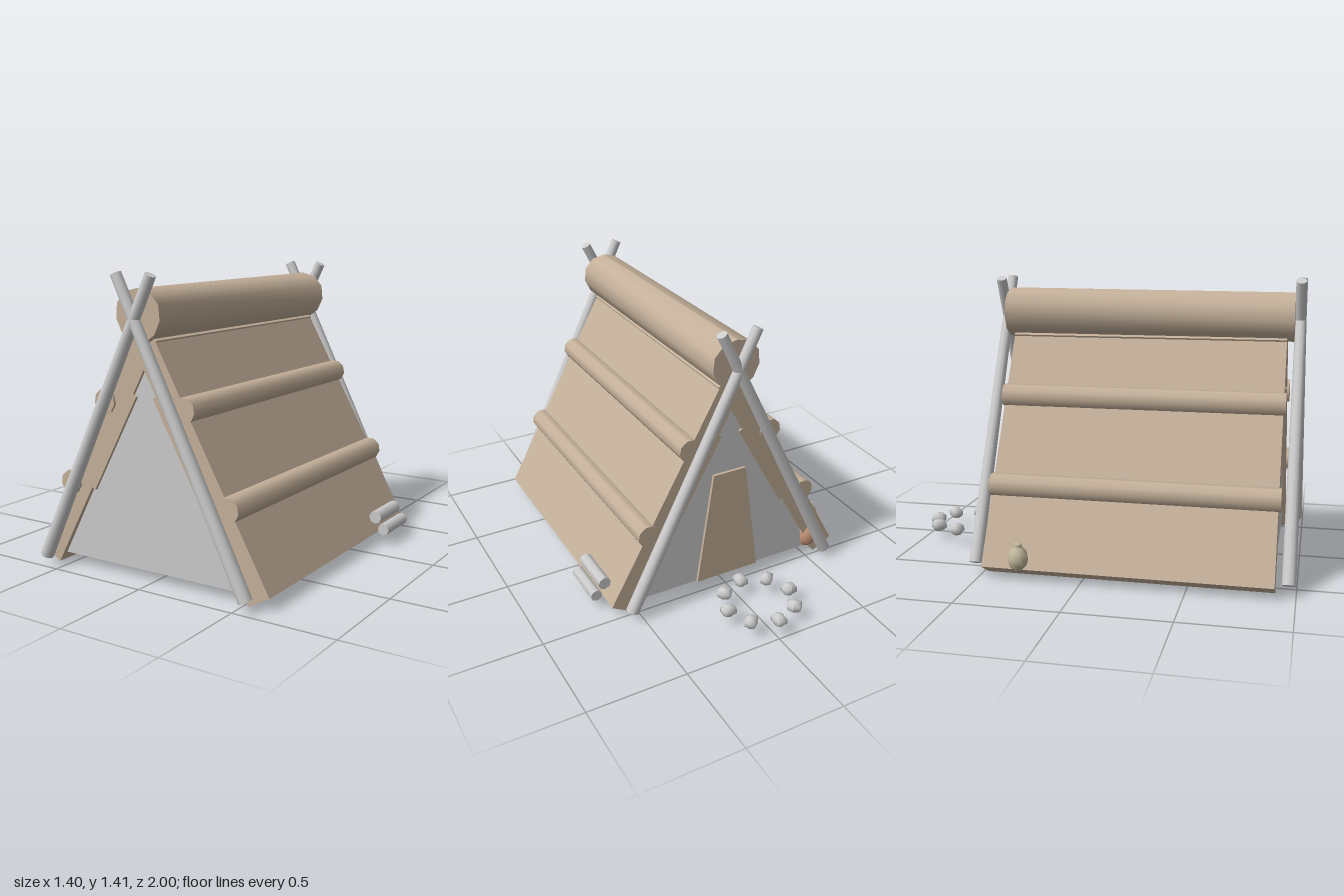
import * as THREE from 'three';

const CX = -0.02; // ridge line of the shelter
const grey = new THREE.MeshStandardMaterial({ color: 0xcccccc });
const bark = new THREE.MeshStandardMaterial({ color: 0xc4b09a });
const clay = new THREE.MeshStandardMaterial({ color: 0xd09a7c });
const gourdSkin = new THREE.MeshStandardMaterial({ color: 0xc2b89c });

export function createModel() {
  const model = new THREE.Group();
  model.name = 'barkShelter';

  const add = (name, geometry, material, x = 0, y = 0, z = 0) => {
    const mesh = new THREE.Mesh(geometry, material);
    mesh.name = name;
    mesh.position.set(x, y, z);
    model.add(mesh);
    return mesh;
  };

  // flat outline in x/y, given a thickness from z0 to z1
  const slab = (name, points, z0, z1, material) => {
    const shape = new THREE.Shape(points.map(([x, y]) => new THREE.Vector2(x, y)));
    const geometry = new THREE.ExtrudeGeometry(shape, { depth: z1 - z0, bevelEnabled: false });
    return add(name, geometry, material, 0, 0, z0);
  };

  // round timber between two points
  const timber = (name, a, b, r, sides, material, rEnd = r) => {
    const from = new THREE.Vector3(...a), to = new THREE.Vector3(...b);
    const mesh = add(name, new THREE.CylinderGeometry(rEnd, r, from.distanceTo(to), sides), material);
    mesh.position.copy(from).add(to).multiplyScalar(0.5);
    mesh.quaternion.setFromUnitVectors(new THREE.Vector3(0, 1, 0), to.sub(from).normalize());
    return mesh;
  };

  // roof slopes: three bark sheets per side, the middle one thicker inside
  const tilt = THREE.MathUtils.degToRad(61);
  const up = [-Math.cos(tilt), Math.sin(tilt)];
  const inward = [-Math.sin(tilt), -Math.cos(tilt)];
  const sheets = [[0, 0.52, 0.12], [0.46, 0.99, 0.14], [0.93, 1.275, 0.12]];
  for (const side of [1, -1]) {
    for (const [s0, s1, thick] of sheets) {
      const at = (s, t) => [
        CX + side * (0.65 + up[0] * s + inward[0] * t),
        0.07 + up[1] * s + inward[1] * t,
      ];
      slab(side > 0 ? 'leftRoofSheet' : 'rightRoofSheet',
        [at(s0, 0), at(s1, 0), at(s1, thick), at(s0, thick)], -0.48, 0.905, bark);
    }
    // weight logs lying along the slope
    for (const [x, y] of [[0.445, 0.425], [0.222, 0.835]]) {
      timber('roofLog', [CX + side * x, y, -0.487], [CX + side * x, y, 0.917], 0.058, 9, bark);
    }
    // crossed poles at both gables
    for (const z of [0.966, -0.537]) {
      timber('crossedPole', [CX + side * 0.568, 0.06, z], [CX - side * 0.095, 1.415, z], 0.033, 12, grey, 0.026);
    }
  }

  // rolled bark ridge, slightly irregular
  const ridge = timber('ridgeRoll', [CX, 1.236, 0.94], [CX, 1.242, -0.515], 0.122, 11, bark, 0.126);
  const p = ridge.geometry.attributes.position;
  for (let i = 0; i < p.count; i++) {
    const k = 1 + 0.025 * Math.sin(3 * Math.atan2(p.getZ(i), p.getX(i)));
    p.setX(i, p.getX(i) * k);
    p.setZ(i, p.getZ(i) * k);
  }
  ridge.geometry.computeVertexNormals();

  // gable walls and the door at the back
  const gable = [[CX - 0.51, 0.06], [CX + 0.51, 0.06], [CX, 1.005]];
  slab('frontWall', gable, 0.86, 0.89, grey);
  slab('backWall', gable, -0.47, -0.44, grey);
  slab('doorFlap', [[CX - 0.175, 0.06], [CX + 0.175, 0.06], [CX + 0.09, 0.66], [CX - 0.09, 0.66]],
    -0.485, -0.465, bark);

  // ring of hearth stones
  for (let i = 0; i < 8; i++) {
    const a = i * Math.PI / 4;
    const stone = add('hearthStone', new THREE.SphereGeometry(1, 8, 5), grey,
      CX + 0.175 * Math.sin(a), 0.092, -0.785 + 0.175 * Math.cos(a));
    const q = stone.geometry.attributes.position;
    for (let j = 0; j < q.count; j++) { // push the ball towards a block
      const v = new THREE.Vector3().fromBufferAttribute(q, j);
      const m = Math.max(Math.abs(v.x), Math.abs(v.y), Math.abs(v.z));
      v.multiplyScalar(0.4 + 0.55 / m);
      q.setXYZ(j, v.x, v.y, v.z);
    }
    stone.geometry.computeVertexNormals();
    stone.scale.set(0.032, 0.031, 0.039);
    stone.rotation.y = a;
  }

  // firewood against the left slope
  for (const [x, y, r] of [[0.622, 0.15, 0.033], [0.668, 0.092, 0.03]]) {
    timber('firewood', [x, y, -0.382], [x, y, -0.147], r, 8, grey);
  }

  // gourd and clay pot
  const turned = (name, profile, sides, material, x, z) => add(name,
    new THREE.LatheGeometry(profile.map(([r, y]) => new THREE.Vector2(r, y)), sides), material, x, 0.06, z);
  turned('gourd', [[0, 0], [0.025, 0.003], [0.045, 0.03], [0.05, 0.06], [0.043, 0.09], [0.024, 0.112],
    [0.017, 0.118], [0.021, 0.126], [0.018, 0.133], [0, 0.135]], 10, gourdSkin, -0.652, -0.3);
  turned('clayPot', [[0, 0], [0.045, 0], [0.064, 0.035], [0.062, 0.08], [0.045, 0.112], [0.038, 0.115],
    [0.036, 0.09], [0, 0.085]], 12, clay, -0.535, -0.44);

  return model;
}
